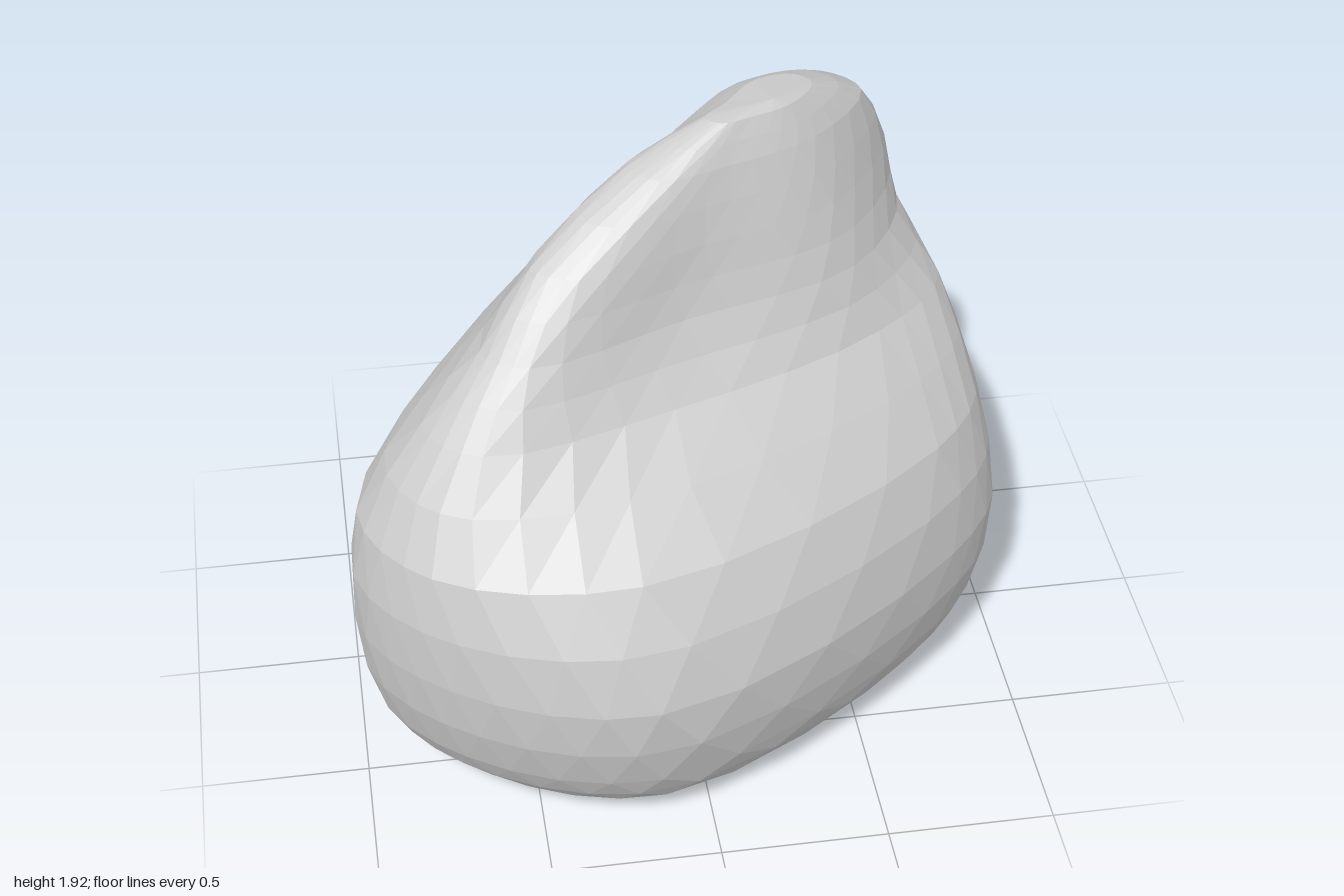
import * as THREE from 'three';

const SIDES = 32;
const ROWS = 20;

// Horizontal outline at one height: eight x,z pairs running right, front right,
// front, left front, left, back left, back, back right.
const outline = (y, ...p) =>
  Array.from({ length: 8 }, (_, k) => new THREE.Vector3(p[2 * k], y, p[2 * k + 1]));

// The same outline drawn in towards a centre and moved to another height
const shrink = (points, y, scale, x, z) =>
  points.map((p) => new THREE.Vector3(x + (p.x - x) * scale, y, z + (p.z - z) * scale));

function boulderGeometry() {
  const belly = outline(0.55, 1, 0.06, 0.8, 0.41, -0.17, 0.965, -0.75, 0.78, -1, 0.42, -0.59, -0.37, 0.15, -0.965, 0.72, -0.56);
  const crown = outline(1.8, 0.6, -0.25, 0.42, -0.02, 0.16, 0.09, -0.05, 0.14, -0.14, 0.06, 0.02, -0.1, 0.25, -0.34, 0.5, -0.37);
  const levels = [
    // rounded foot and flat underside
    ...[[0, 0.63], [0.03, 0.75], [0.1, 0.865], [0.25, 0.955]].map(([y, s]) => shrink(belly, y, s, 0.05, 0.03)),
    belly,
    // front shelf, then a steeper face rising to a slanting ridge
    outline(0.9, 0.94, 0, 0.75, 0.33, -0.2, 0.81, -0.78, 0.69, -0.97, 0.36, -0.55, -0.38, 0.17, -0.935, 0.7, -0.57),
    outline(1.2, 0.84, -0.14, 0.6, 0.13, -0.05, 0.41, -0.61, 0.54, -0.77, 0.37, -0.41, -0.32, 0.22, -0.84, 0.64, -0.57),
    outline(1.4, 0.73, -0.28, 0.53, 0.07, 0, 0.26, -0.46, 0.42, -0.59, 0.32, -0.26, -0.27, 0.24, -0.69, 0.59, -0.56),
    outline(1.6, 0.69, -0.31, 0.47, 0.03, 0.07, 0.18, -0.3, 0.3, -0.43, 0.22, -0.11, -0.19, 0.25, -0.54, 0.58, -0.49),
    crown,
    shrink(crown, 1.905, 0.45, 0.29, -0.05),
  ];

  // Eight upright curves, one through each outline corner
  const columns = belly.map((_, k) => new THREE.CatmullRomCurve3(levels.map((level) => level[k])));

  // Rings around the curves, every other one turned by half a facet
  const rings = [];
  for (let r = 0; r <= ROWS; r++) {
    const loop = new THREE.CatmullRomCurve3(columns.map((c) => c.getPoint(r / ROWS)), true);
    const turn = (r % 2) / 2;
    rings.push(Array.from({ length: SIDES }, (_, i) => loop.getPoint((i + turn) / SIDES)));
  }

  // Facets between the rings, closed by a fan at the bottom and the top
  const corners = [];
  const bottom = new THREE.Vector3(0.05, 0, 0.03);
  const top = new THREE.Vector3(0.3, 1.925, -0.04);
  for (let i = 0; i < SIDES; i++) {
    const n = (i + 1) % SIDES;
    for (let r = 0; r < ROWS; r++) {
      const a = rings[r], b = rings[r + 1];
      if (r % 2) corners.push(a[i], b[n], a[n], a[i], b[i], b[n]);
      else corners.push(a[i], b[i], a[n], b[i], b[n], a[n]);
    }
    corners.push(bottom, rings[0][i], rings[0][n]);
    corners.push(top, rings[ROWS][n], rings[ROWS][i]);
  }

  const geometry = new THREE.BufferGeometry().setFromPoints(corners);
  geometry.computeVertexNormals();
  return geometry;
}

export function createModel() {
  const group = new THREE.Group();
  group.name = 'rock';
  const boulder = new THREE.Mesh(
    boulderGeometry(),
    new THREE.MeshStandardMaterial({ color: 0xcccccc, flatShading: true }));
  boulder.name = 'boulder';
  group.add(boulder);
  return group;
}
